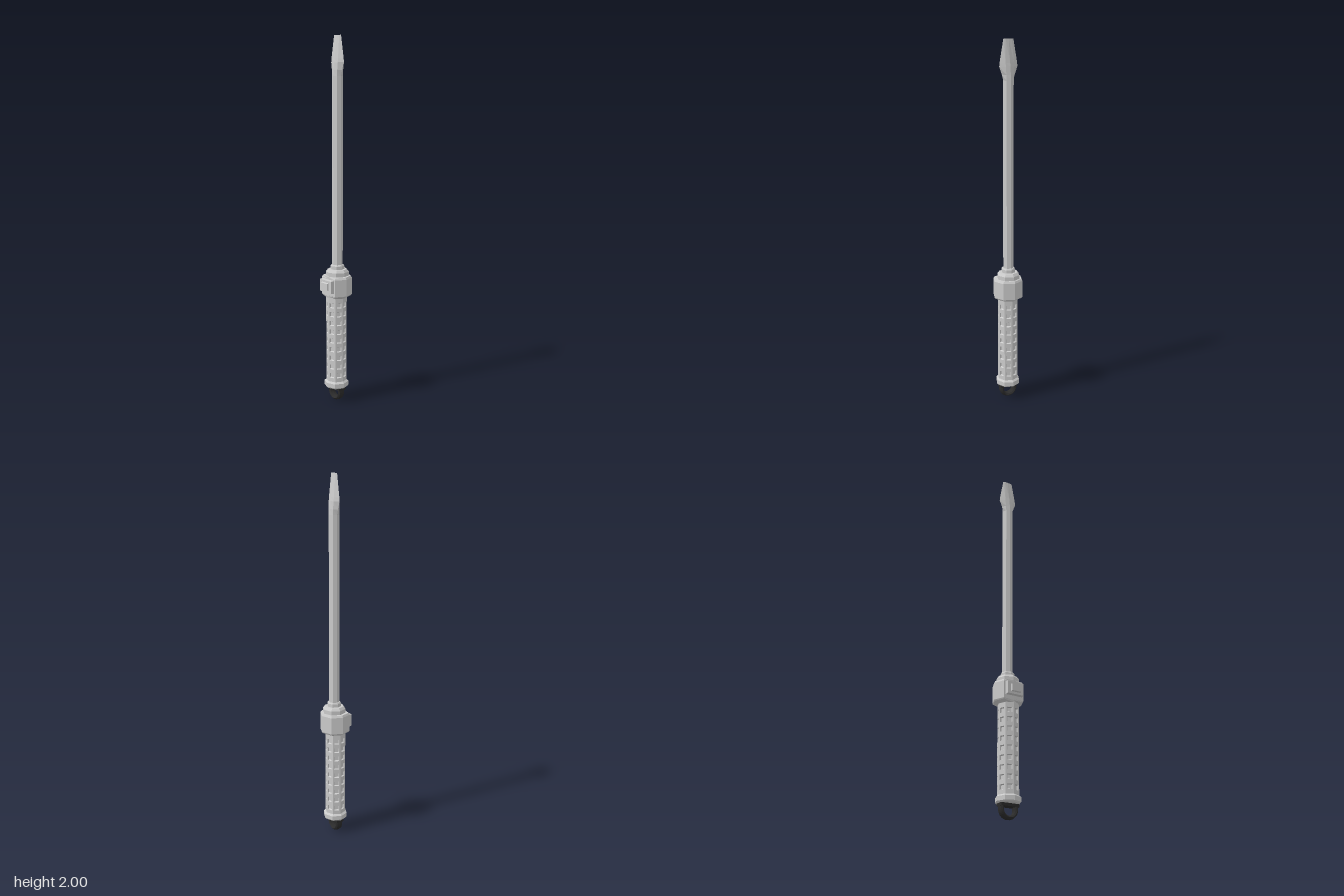
import * as THREE from 'three';

const grey = new THREE.MeshStandardMaterial({ color: 0xcccccc, flatShading: true });
const dark = new THREE.MeshStandardMaterial({ color: 0x2b2b2b, flatShading: true });

function add(group, name, geometry, material = grey) {
  const mesh = new THREE.Mesh(geometry, material);
  mesh.name = name;
  group.add(mesh);
  return mesh;
}

// Eight-sided turned part; points are [radius, y] from bottom to top.
function octagonal(points) {
  return new THREE.LatheGeometry(points.map(([r, y]) => new THREE.Vector2(r, y)), 8);
}

function editVertices(geometry, edit) {
  const p = geometry.attributes.position;
  const v = new THREE.Vector3();
  for (let i = 0; i < p.count; i++) {
    edit(v.fromBufferAttribute(p, i), i);
    p.setXYZ(i, v.x, v.y, v.z);
  }
  geometry.computeVertexNormals();
  return geometry;
}

// One flat side of the grip, with a column of pockets narrowing inwards.
function gripPanel(width, y0, y1, depth) {
  const w = width / 2, hw = 0.0135, hh = 0.0135, step = 0.05, first = 0.155;
  const shape = new THREE.Shape();
  shape.moveTo(-w, y0).lineTo(w, y0).lineTo(w, y1).lineTo(-w, y1).closePath();
  for (let row = 0; row < 9; row++) {
    const y = first + row * step;
    const hole = new THREE.Path();
    hole.moveTo(-hw, y - hh).lineTo(-hw, y + hh).lineTo(hw, y + hh).lineTo(hw, y - hh).closePath();
    shape.holes.push(hole);
  }
  const geometry = new THREE.ExtrudeGeometry(shape, { depth, bevelEnabled: false });
  return editVertices(geometry, (v) => {
    if (v.z > depth / 2 || Math.abs(v.x) > hw + 0.001) return;
    const centre = first + Math.round((v.y - first) / step) * step;
    v.x *= 0.75;
    v.y = centre + (v.y - centre) * 0.75;
  });
}

// Block whose -x face is smaller than its +x face.
function taperedBlock(x0, x1, height, depth, taper) {
  const geometry = new THREE.BoxGeometry(x1 - x0, height, depth);
  geometry.translate((x0 + x1) / 2, 0, 0);
  return editVertices(geometry, (v) => {
    if (v.x > (x0 + x1) / 2) return;
    v.y -= Math.sign(v.y) * taper;
    v.z -= Math.sign(v.z) * taper;
  });
}

// Blade cross-sections: y, half thickness, shoulder x, shoulder z, half width.
function bladeGeometry() {
  const rows = [
    [1.79, 0.029, 0.0205, 0.0205, 0.029],
    [1.82, 0.027, 0.02, 0.022, 0.038],
    [1.86, 0.023, 0.018, 0.024, 0.053],
    [1.88, 0.02, 0.016, 0.024, 0.051],
    [2.0, 0.004, 0.0035, 0.018, 0.029],
    [2.0, 0, 0, 0, 0],
  ];
  const geometry = octagonal(rows.map(([y]) => [1, y]));
  return editVertices(geometry, (v, i) => {
    const [, thick, sx, sz, wide] = rows[i % rows.length];
    const s = Math.abs(v.x), c = Math.abs(v.z);
    if (s < 0.1) v.set(0, v.y, Math.sign(v.z) * wide);
    else if (c < 0.1) v.set(Math.sign(v.x) * thick, v.y, 0);
    else v.set(Math.sign(v.x) * sx, v.y, Math.sign(v.z) * sz);
  });
}

export function createModel() {
  const model = new THREE.Group();
  model.name = 'screwdriver';

  // Grip: inner core wrapped in eight pocketed panels
  const radius = 0.057, depth = 0.008;
  const apothem = radius * Math.cos(Math.PI / 8);
  const coreRadius = (apothem - depth) / Math.cos(Math.PI / 8);
  const grip = new THREE.Group();
  grip.name = 'grip';
  model.add(grip);
  add(grip, 'gripCore', octagonal([[coreRadius, 0.1], [coreRadius, 0.605]]));
  const panel = gripPanel(2 * radius * Math.sin(Math.PI / 8), 0.1, 0.605, depth);
  for (let k = 0; k < 8; k++) {
    const side = new THREE.Group();
    side.name = 'gripSide';
    side.rotation.y = (k + 0.5) * Math.PI / 4;
    add(side, 'gripPanel', panel).position.z = apothem - depth;
    grip.add(side);
  }

  // End cap
  add(model, 'endCap', octagonal([
    [0, 0.08], [0.061, 0.08], [0.067, 0.087], [0.067, 0.11], [0.056, 0.12], [0, 0.12],
  ]));

  // Hanging loop: dark foot plate with a flattened half ring
  const loop = new THREE.Group();
  loop.name = 'hangingLoop';
  model.add(loop);
  add(loop, 'loopPlate', new THREE.BoxGeometry(0.044, 0.02, 0.104), dark).position.y = 0.075;
  const ring = new THREE.TorusGeometry(0.041, 0.011, 8, 20, Math.PI);
  ring.rotateZ(Math.PI).rotateY(Math.PI / 2).scale(1.9, 1, 1).translate(0, 0.052, 0);
  add(loop, 'loopRing', ring, dark);
  for (const s of [-1, 1]) {
    const leg = new THREE.CylinderGeometry(0.011, 0.011, 0.02, 8);
    leg.scale(1.9, 1, 1).translate(0, 0.062, s * 0.041);
    add(loop, 'loopLeg', leg, dark);
  }

  // Collar, with its right corner cut flat to carry the button
  const collar = octagonal([
    [0, 0.595], [0.058, 0.595], [0.079, 0.606], [0.083, 0.612], [0.083, 0.705], [0.077, 0.716], [0, 0.716],
  ]);
  editVertices(collar, (v) => { v.x = Math.max(v.x, -0.061); });
  add(model, 'collar', collar).position.x = 0.0025;

  // Button on the collar
  const button = new THREE.Group();
  button.name = 'button';
  button.position.y = 0.666;
  add(button, 'buttonPlate', taperedBlock(-0.077, -0.05, 0.072, 0.1, 0.003));
  add(button, 'buttonCap', taperedBlock(-0.0865, -0.07, 0.046, 0.062, 0.005));
  model.add(button);

  // Stepped neck, shaft and flat blade share a slightly offset axis
  const upper = new THREE.Group();
  upper.name = 'upperAssembly';
  upper.position.x = 0.007;
  add(upper, 'neck', octagonal([
    [0.063, 0.71], [0.063, 0.738], [0.052, 0.752], [0.038, 0.752], [0.038, 0.77], [0.033, 0.777], [0, 0.777],
  ]));
  add(upper, 'shaft', octagonal([[0.029, 0.76], [0.029, 1.79]]));
  add(upper, 'blade', bladeGeometry());
  model.add(upper);

  return model;
}
